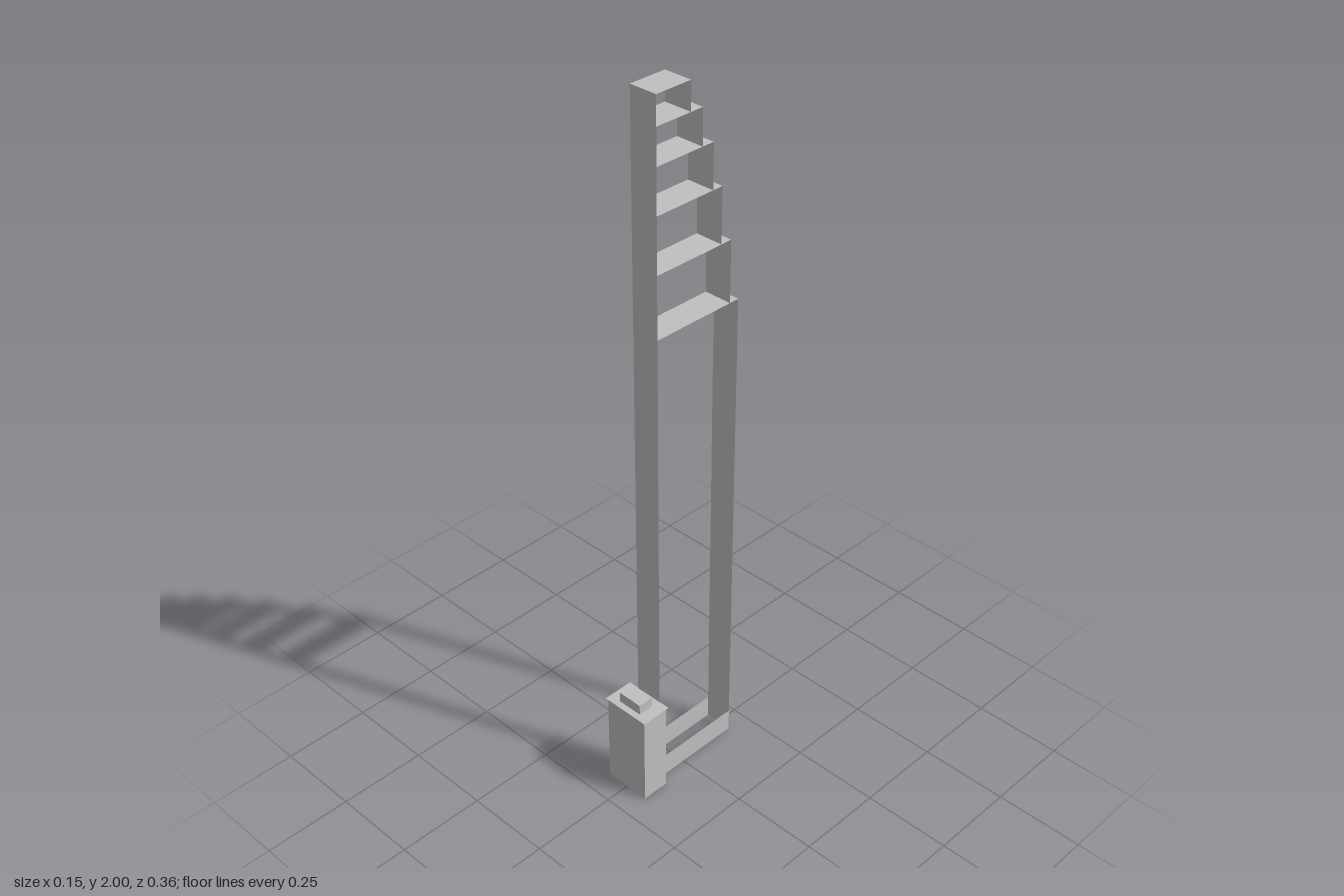
import * as THREE from 'three';

export function createModel() {
  const model = new THREE.Group();
  const grey = new THREE.MeshStandardMaterial({ color: 0xbfbfbf, side: THREE.DoubleSide });
  grey.name = 'plain grey';

  const add = (name, geometry, x, y, z, parent = model) => {
    const mesh = new THREE.Mesh(geometry, grey);
    mesh.name = name;
    mesh.position.set(x, y, z);
    parent.add(mesh);
    return mesh;
  };
  // Thin sheets: facing the back, lying flat, or facing sideways
  const upright = (name, w, y0, y1, z, parent) =>
    add(name, new THREE.PlaneGeometry(w, y1 - y0).rotateY(Math.PI), 0, (y0 + y1) / 2, z, parent);
  const flat = (name, w, y, z0, z1, parent) =>
    add(name, new THREE.PlaneGeometry(w, z1 - z0).rotateX(-Math.PI / 2), 0, y, (z0 + z1) / 2, parent);
  const sideways = (name, x, y0, y1, z0, z1, parent) =>
    add(name, new THREE.PlaneGeometry(z1 - z0, y1 - y0).rotateY(Math.sign(x) * Math.PI / 2),
      x, (y0 + y1) / 2, (z0 + z1) / 2, parent);

  const width = 0.08, front = 0.092, back = -0.183;

  // Tall front strip
  upright('frontStrip', width, 0, 2, front).rotation.y = Math.PI;

  // Back strip rising in steps, each closed by a shelf reaching the front strip
  const steps = [
    [back, 1.39], [-0.154, 1.56], [-0.121, 1.71],
    [-0.09, 1.83], [-0.054, 1.925], [-0.016, 2],
  ];
  let bottom = 0;
  for (const [z, top] of steps) {
    upright('backStep', width, bottom, top, z);
    flat('shelf', width, top, z, front);
    bottom = top;
  }

  // Low side walls of the base, open above and below
  for (const s of [-1, 1]) sideways('baseWall', s * width / 2, 0, 0.067, back, front);

  // Housing at the front: four walls, open below, with an overhanging cap
  const housing = new THREE.Group();
  housing.name = 'housing';
  model.add(housing);
  const capY = 0.275, z0 = 0.096, z1 = 0.177, half = 0.068;
  upright('housingBack', half * 2, 0, capY, z0, housing);
  upright('housingFront', half * 2, 0, capY, z1, housing).rotation.y = Math.PI;
  for (const s of [-1, 1]) sideways('housingSide', s * half, 0, capY, z0, z1, housing);
  flat('housingCap', 0.146, capY, 0.091, 0.181, housing);
  add('capBlock', new THREE.BoxGeometry(0.074, 0.03, 0.045), 0, capY + 0.015, 0.14, housing);

  return model;
}
